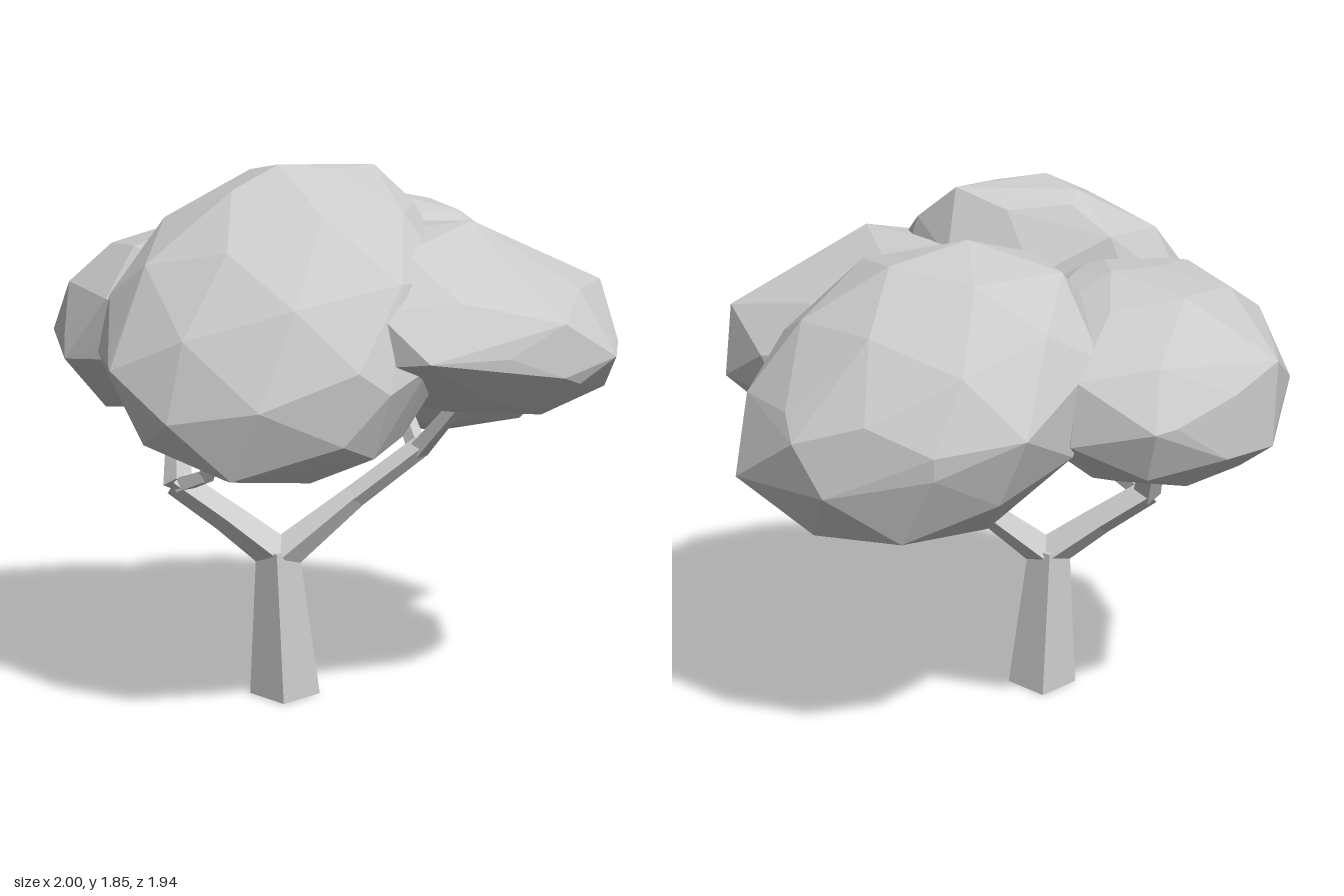
import * as THREE from 'three';
import { ConvexGeometry } from 'three/addons/geometries/ConvexGeometry.js';

const material = new THREE.MeshStandardMaterial({ color: 0xcccccc, flatShading: true });

function addMesh(group, name, geometry) {
  const mesh = new THREE.Mesh(geometry, material);
  mesh.name = name;
  group.add(mesh);
  return mesh;
}

// Four-sided tapered limb running through points [x, y, z, radius]
function limb(group, name, points) {
  const part = new THREE.Group();
  part.name = name;
  for (let i = 0; i < points.length - 1; i++) {
    const [ax, ay, az, ra] = points[i];
    const [bx, by, bz, rb] = points[i + 1];
    const a = new THREE.Vector3(ax, ay, az);
    const b = new THREE.Vector3(bx, by, bz);
    const dir = b.clone().sub(a);
    const length = dir.length();
    dir.normalize();
    const overlap = i > 0 ? ra * 0.4 : 0;
    const geo = new THREE.CylinderGeometry(rb, ra, length + overlap, 4).rotateY(Math.PI / 4);
    const mesh = addMesh(part, name + 'Segment', geo);
    mesh.quaternion.setFromUnitVectors(new THREE.Vector3(0, 1, 0), dir);
    mesh.position.copy(a).add(b).multiplyScalar(0.5).addScaledVector(dir, -overlap / 2);
  }
  group.add(part);
}

// Faceted leaf clump: an uneven icosphere with half-extents [ex, ey, ez], skewed by
// the lean [xy, xz, yz] between each pair of axes, then hulled with a few outer corners
function clump(group, name, center, [ex, ey, ez], [xy, xz, yz], spin, corners) {
  const p = new THREE.IcosahedronGeometry(1, 1).rotateY(spin).attributes.position;
  const a = Math.sqrt(1 - xy * xy);
  const b = (yz - xy * xz) / a;
  const c = Math.sqrt(1 - xz * xz - b * b);
  const origin = new THREE.Vector3(...center);
  const points = corners.map((corner) => new THREE.Vector3(...corner));
  for (let i = 0; i < p.count; i++) {
    const v = new THREE.Vector3().fromBufferAttribute(p, i);
    v.multiplyScalar(1.015 + 0.02 * Math.sin(5 * v.x + spin) * Math.cos(4 * v.z + 3 * v.y));
    v.set(ex * v.x, ey * (xy * v.x + a * v.y), ez * (xz * v.x + b * v.y + c * v.z)).add(origin);
    points.push(v);
  }
  addMesh(group, name, new ConvexGeometry(points));
}

export function createModel() {
  const tree = new THREE.Group();
  tree.name = 'tree';

  // Square trunk, tapering and leaning slightly forward
  const trunk = new THREE.CylinderGeometry(0.074, 0.122, 0.52, 4).rotateY(Math.PI / 4);
  trunk.translate(0, 0.26, 0);
  const p = trunk.attributes.position;
  for (let i = 0; i < p.count; i++) {
    const t = p.getY(i) / 0.52;
    p.setX(i, p.getX(i) - 0.025 - 0.007 * t);
    p.setZ(i, p.getZ(i) + 0.205 + 0.025 * t);
  }
  trunk.computeVertexNormals();
  addMesh(tree, 'trunk', trunk);

  // Main fork
  limb(tree, 'backBranch', [
    [-0.02, 0.5, 0.22, 0.062], [0.13, 0.7, 0.02, 0.042], [0.29, 0.88, -0.15, 0.038],
  ]);
  limb(tree, 'frontBranch', [
    [-0.03, 0.5, 0.23, 0.066], [-0.17, 0.63, 0.34, 0.055], [-0.31, 0.75, 0.45, 0.05],
  ]);

  // Twigs reaching into the leaves
  limb(tree, 'backTwigA', [[0.28, 0.86, -0.14, 0.036], [0.51, 1.1, -0.15, 0.024]]);
  limb(tree, 'backTwigB', [[0.28, 0.86, -0.14, 0.036], [0.06, 1.08, -0.24, 0.024]]);
  limb(tree, 'frontTwigA', [
    [-0.3, 0.74, 0.45, 0.05], [-0.38, 0.88, 0.38, 0.042], [-0.31, 1.06, 0.36, 0.034],
  ]);
  limb(tree, 'frontTwigB', [[-0.38, 0.87, 0.38, 0.036], [-0.49, 1.03, 0.03, 0.026]]);
  limb(tree, 'frontTwigC', [
    [-0.29, 0.74, 0.45, 0.034], [-0.16, 0.79, 0.44, 0.028], [-0.07, 0.91, 0.46, 0.02],
  ]);

  // Crown of four clumps, each drooping outward
  clump(tree, 'frontLeaves', [0.2, 1.35, 0.43], [0.53, 0.49, 0.53], [-0.22, -0.18, -0.4], 0.1, [
    [-0.33, 1.42, 0.35], [-0.25, 1.25, 0.82], [0, 1.23, 0.97], [0.73, 1.18, 0.46],
    [0.65, 0.97, 0.45], [0.1, 1.85, 0.34], [0.18, 1.84, -0.02], [-0.13, 1.79, 0.22],
  ]);
  clump(tree, 'backLeaves', [-0.12, 1.275, -0.46], [0.535, 0.47, 0.5], [0, -0.25, 0.4], 1.3, [
    [-0.67, 1.25, -0.55], [-0.48, 1.2, -0.76], [-0.06, 1.2, -0.97], [0.24, 1.02, -0.96],
    [0.41, 1.25, -0.68], [-0.03, 1.3, 0.03],
  ]);
  clump(tree, 'leftLeaves', [0.4, 1.34, -0.14], [0.58, 0.32, 0.57], [-0.22, 0, 0.2], 2.1, [
    [1, 1.25, -0.3], [0.97, 1.2, -0.08], [0.84, 1.28, 0.4], [0.63, 1.42, 0.42],
    [0.63, 1.25, 0.43], [0.55, 1.57, 0.2], [0.55, 1.67, -0.1], [0.68, 1.45, -0.61],
    [0.7, 1.03, -0.25], [0.15, 1.08, 0.1],
  ]);
  clump(tree, 'rightLeaves', [-0.45, 1.29, 0.23], [0.54, 0.335, 0.55], [0.2, 0.2, 0.12], 0.9, [
    [-1, 1.41, 0.25], [-1, 1.13, 0.24], [-0.72, 1.59, 0.12], [-0.42, 1.63, 0.1],
    [-0.46, 1.2, 0.8], [-0.91, 1.25, -0.13], [-0.73, 0.955, 0.42], [-0.55, 0.96, 0],
  ]);

  return tree;
}
